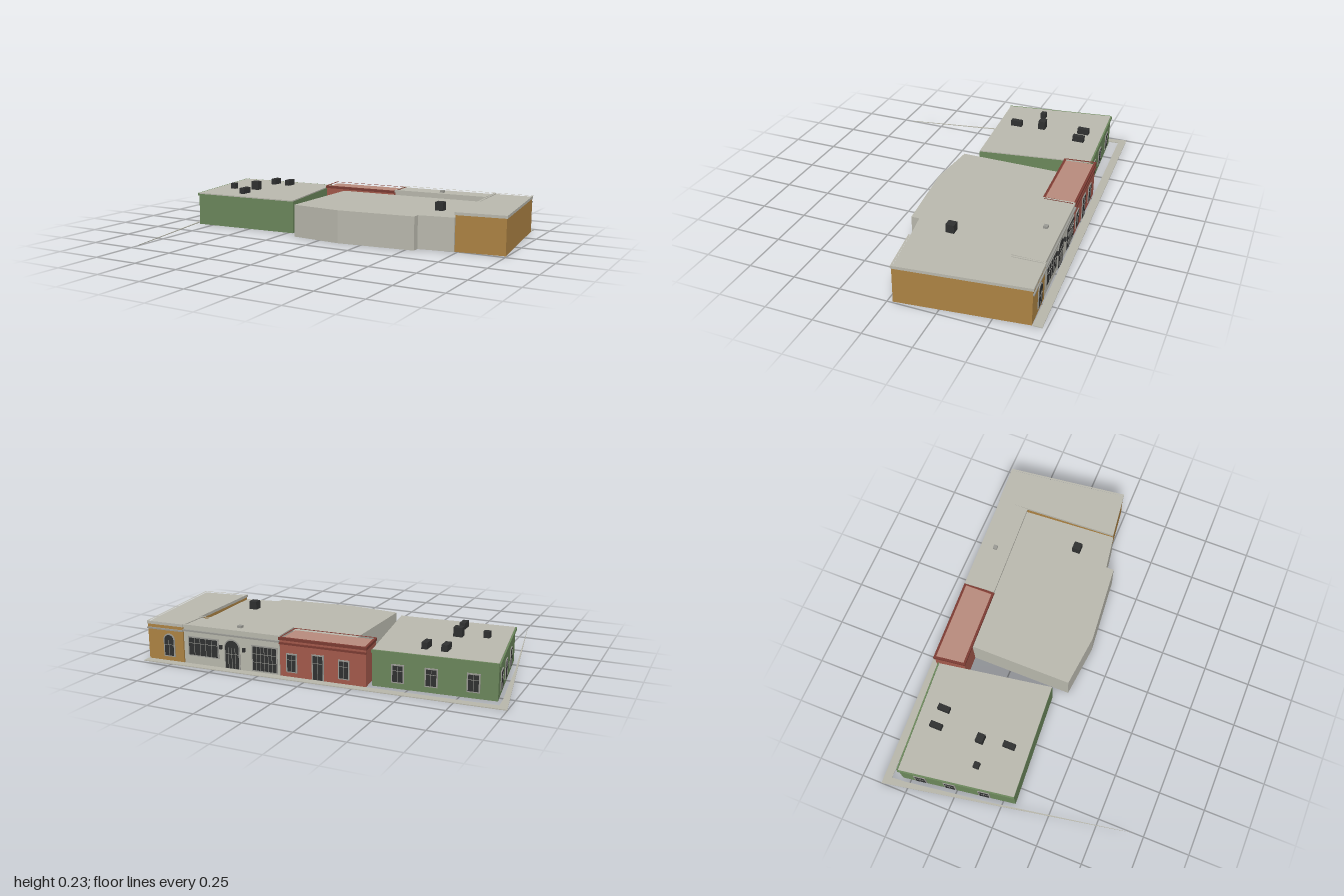
import * as THREE from 'three';

const mat = (name, color, side = THREE.FrontSide) => {
  const m = new THREE.MeshStandardMaterial({ color, side });
  m.name = name;
  return m;
};

export function createModel() {
  const root = new THREE.Group();
  root.name = 'streetBlock';
  const M = {
    grey: mat('paleStone', 0xbbbaaf),
    trim: mat('greyTrim', 0x9b9b95),
    green: mat('greenWall', 0x6c885c),
    orange: mat('ochreWall', 0xae8444),
    red: mat('redWall', 0xa55a4c),
    darkRed: mat('darkRedTrim', 0x7c3c33),
    pink: mat('pinkRoof', 0xb98c7e),
    dark: mat('darkGlass', 0x303131),
    paving: mat('paving', 0xb9b8ac, THREE.DoubleSide),
  };

  const add = (name, geo, material, parent = root) => {
    const m = new THREE.Mesh(geo, material);
    m.name = name;
    parent.add(m);
    return m;
  };
  const toV = (pts) => pts.map(([x, z]) => new THREE.Vector2(x, -z));

  // Upright prism over an (x, z) footprint, optionally with a hole
  const prism = (name, pts, y0, y1, material, hole) => {
    const s = new THREE.Shape(toV(pts));
    if (hole) s.holes.push(new THREE.Path(toV(hole)));
    const g = new THREE.ExtrudeGeometry(s, { depth: y1 - y0, bevelEnabled: false });
    g.rotateX(-Math.PI / 2);
    g.translate(0, y0, 0);
    return add(name, g, material);
  };

  // Moves every edge of a footprint inwards by d (outwards when negative)
  const inset = (pts, d) => pts.map((p, i) => {
    const a = pts[(i + pts.length - 1) % pts.length], b = pts[(i + 1) % pts.length];
    const normal = (u, v) => {
      const l = Math.hypot(v[0] - u[0], v[1] - u[1]);
      return [-(v[1] - u[1]) / l, (v[0] - u[0]) / l];
    };
    const n = normal(a, p), m = normal(p, b);
    const k = d / (1 + n[0] * m[0] + n[1] * m[1]);
    return [p[0] + (n[0] + m[0]) * k, p[1] + (n[1] + m[1]) * k];
  });

  // Group on the wall a-b at fraction t, with local +z pointing out of the wall
  const onWall = (name, [a, b], t) => {
    const g = new THREE.Group();
    g.name = name;
    g.position.set(a[0] + (b[0] - a[0]) * t, 0, a[1] + (b[1] - a[1]) * t);
    g.rotation.y = Math.atan2(b[1] - a[1], -(b[0] - a[0]));
    root.add(g);
    return g;
  };
  const box = (name, w, h, d, x, y, z, material, parent) =>
    add(name, new THREE.BoxGeometry(w, h, d).translate(x, y, z), material, parent);

  // Flat opening outline with a square or round head
  const plate = (w, y0, y1, arched, depth) => {
    const r = w / 2, s = new THREE.Shape();
    s.moveTo(-r, y0).lineTo(r, y0);
    if (arched) s.lineTo(r, y1 - r).absarc(0, y1 - r, r, 0, Math.PI, false);
    else s.lineTo(r, y1).lineTo(-r, y1);
    s.closePath();
    return new THREE.ExtrudeGeometry(s, { depth, bevelEnabled: false, curveSegments: 10 });
  };

  // Framed window or door with glazing bars
  const opening = (name, wall, t, w, y0, y1, { arched = false, bars = 1, rows = 1, frame = M.trim } = {}) => {
    const g = onWall(name, wall, t);
    add('frame', plate(w + 0.014, Math.max(y0 - 0.006, 0.001), y1 + 0.007, arched, 0.004), frame, g);
    add('glass', plate(w, y0, y1, arched, 0.006), M.dark, g);
    const top = arched ? y1 - w / 2 : y1;
    for (let i = 1; i <= bars; i++) {
      box('bar', 0.002, top - y0, 0.002, -w / 2 + (w * i) / (bars + 1), (y0 + top) / 2, 0.0065, M.trim, g);
    }
    for (let i = 1; i <= rows; i++) {
      box('crossBar', w, 0.002, 0.002, 0, y0 + ((top - y0) * i) / rows * 0.7, 0.0065, M.trim, g);
    }
    return g;
  };

  const band = (name, wall, y0, y1, out, material) => {
    const len = Math.hypot(wall[1][0] - wall[0][0], wall[1][1] - wall[0][1]);
    box('strip', len + 0.004, y1 - y0, out, 0, (y0 + y1) / 2, out / 2, material, onWall(name, wall, 0.5));
  };

  // Footprints, clockwise from above; the first edge is the street facade
  const greenPts = [[-0.93, -0.545], [-0.32, -0.588], [-0.22, 0.025], [-0.838, 0.065]];
  const redPts = [[-0.303, -0.622], [0.152, -0.642], [0.155, -0.477], [-0.282, -0.457]];
  const stonePts = [[0.155, -0.642], [0.702, -0.665], [0.702, -0.503], [0.165, -0.477]];
  const ochrePts = [[0.706, -0.668], [0.913, -0.68], [0.993, -0.027], [0.735, 0.006]];
  const hallPts = [[-0.165, -0.462], [0.165, -0.477], [0.702, -0.503], [0.733, 0.012],
    [0.545, 0.042], [0.545, 0.085], [0.12, 0.125], [-0.165, 0.095]];

  // Green building
  prism('greenWalls', greenPts, 0, 0.178, M.green);
  prism('greenBuildingRoof', inset(greenPts, 0.001), 0.178, 0.184, M.grey);
  const street = (p) => [p[0], p[1]];
  const greenSide = [greenPts[3], greenPts[0]];
  band('greenCornice', street(greenPts), 0.168, 0.183, 0.008, M.green);
  band('greenSideCornice', greenSide, 0.168, 0.183, 0.008, M.green);
  [0.19, 0.52, 0.79].forEach((t) => opening('greenWindow', street(greenPts), t, 0.05, 0.035, 0.115));
  [0.27, 0.57, 0.83].forEach((t) => opening('greenSideWindow', greenSide, t, 0.05, 0.03, 0.115));

  // Red building with parapet
  prism('redWalls', redPts, 0, 0.188, M.red);
  prism('redRoof', inset(redPts, 0.006), 0.188, 0.192, M.pink);
  prism('redParapet', inset(redPts, -0.005), 0.186, 0.2, M.darkRed, inset(redPts, 0.007));
  band('redCornice', street(redPts), 0.165, 0.175, 0.007, M.darkRed);
  opening('redWindow', street(redPts), 0.25, 0.045, 0.03, 0.115);
  opening('redDoor', street(redPts), 0.55, 0.05, 0.004, 0.125);
  opening('redWindow', street(redPts), 0.86, 0.045, 0.03, 0.115);

  // Stone shopfront
  prism('stoneWalls', stonePts, 0, 0.198, M.grey);
  prism('stoneParapet', inset(stonePts, -0.003), 0.192, 0.206, M.grey, inset(stonePts, 0.007));
  band('stoneCornice', street(stonePts), 0.172, 0.18, 0.009, M.trim);
  opening('shopWindow', street(stonePts), 0.15, 0.13, 0.012, 0.135, { bars: 5, rows: 2 });
  opening('archedDoor', street(stonePts), 0.485, 0.075, 0.004, 0.15, { arched: true, bars: 3 });
  opening('shopWindow', street(stonePts), 0.79, 0.165, 0.05, 0.14, { bars: 4 });
  [0.36, 0.6].forEach((t) =>
    box('wallLamp', 0.014, 0.02, 0.012, 0, 0.11, 0.006, M.dark, onWall('lamp', street(stonePts), t)));

  // Ochre building
  prism('ochreWalls', ochrePts, 0, 0.192, M.orange);
  prism('ochreRoof', inset(ochrePts, 0.004), 0.192, 0.2, M.grey);
  prism('ochreCornice', inset(ochrePts, -0.004), 0.19, 0.205, M.grey, inset(ochrePts, 0.006));
  band('ochreStringCourse', street(ochrePts), 0.165, 0.173, 0.007, M.trim);
  opening('archedWindow', street(ochrePts), 0.4, 0.052, 0.03, 0.14, { arched: true });

  // Large rear hall
  prism('rearHall', hallPts, 0, 0.177, M.grey);

  // Pavement around the street corner, tapering to a sliver
  prism('pavement', [[-1, -0.64], [0.915, -0.73], [0.915, -0.685], [-0.952, -0.6], [-0.948, -0.53],
    [-0.926, -0.38], [-0.888, -0.1], [-0.749, 0.7]], 0, 0.004, M.paving);

  // Rooftop units: x, z, width, depth, base, top
  [[-0.645, -0.455, 0.03, 0.065, 0.18, 0.217], [-0.545, -0.455, 0.03, 0.065, 0.18, 0.217],
    [-0.625, -0.212, 0.046, 0.04, 0.18, 0.233], [-0.76, -0.175, 0.032, 0.03, 0.18, 0.217],
    [-0.602, -0.06, 0.03, 0.065, 0.18, 0.217], [0.587, -0.15, 0.044, 0.044, 0.175, 0.222],
  ].forEach(([x, z, w, d, y0, y1]) => box('roofUnit', w, y1 - y0, d, x, (y0 + y1) / 2, z, M.dark, root));
  box('roofVent', 0.024, 0.014, 0.022, 0.417, 0.203, -0.575, M.trim, root);

  return root;
}
